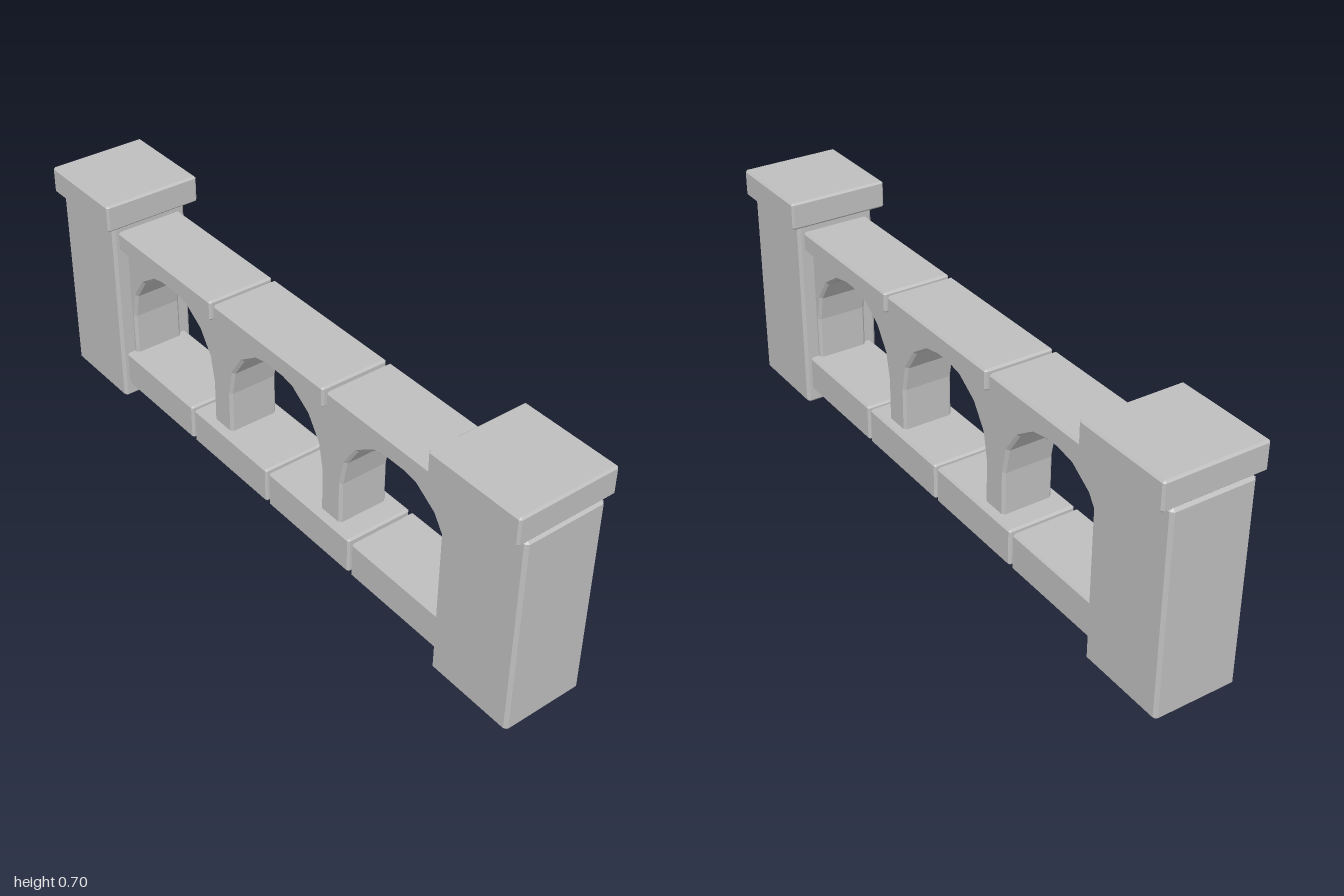
import * as THREE from 'three';
import { ConvexGeometry } from 'three/addons/geometries/ConvexGeometry.js';

const stone = new THREE.MeshStandardMaterial({ color: 0xbebebe });
stone.name = 'grey stone';

// Block with every edge chamfered by c, centred on (x, z), spanning y0..y1
function chamferBlock(name, x, y0, y1, width, depth, c) {
  const half = [width / 2, (y1 - y0) / 2, depth / 2];
  const points = [];
  for (const sx of [-1, 1]) for (const sy of [-1, 1]) for (const sz of [-1, 1]) {
    for (let axis = 0; axis < 3; axis++) {
      // one point per face at each corner, inset along the other two axes
      const p = half.map((h, i) => (i === axis ? h : h - c));
      points.push(new THREE.Vector3(p[0] * sx, p[1] * sy, p[2] * sz));
    }
  }
  const mesh = new THREE.Mesh(new ConvexGeometry(points), stone);
  mesh.name = name;
  mesh.position.set(x, (y0 + y1) / 2, 0);
  return mesh;
}

// Wall with three faceted arches, its piers standing in the base blocks
function arcade() {
  const end = 0.74, foot = 0.12, top = 0.53;
  const radius = 0.207, spring = 0.292, segments = 8, bevel = 0.008;
  const shape = new THREE.Shape();
  shape.moveTo(-end, top);
  shape.lineTo(-end, foot);
  for (const cx of [-0.5, 0, 0.5]) {
    shape.lineTo(cx - radius, foot);
    for (let i = 0; i <= segments; i++) {
      const a = Math.PI * (1 - i / segments);
      shape.lineTo(cx + radius * Math.cos(a), spring + radius * Math.sin(a));
    }
    shape.lineTo(cx + radius, foot);
  }
  shape.lineTo(end, foot);
  shape.lineTo(end, top);
  shape.closePath();
  const depth = 0.16 - 2 * bevel;
  const geometry = new THREE.ExtrudeGeometry(shape, {
    depth, bevelEnabled: true, bevelSegments: 1,
    bevelSize: bevel, bevelThickness: bevel, bevelOffset: -bevel,
  });
  geometry.translate(0, 0, -depth / 2);
  const mesh = new THREE.Mesh(geometry, stone);
  mesh.name = 'archedWall';
  return mesh;
}

export function createModel() {
  const model = new THREE.Group();
  model.name = 'stoneBalustrade';

  // End pillars with overhanging caps
  for (const [side, s] of [['left', 1], ['right', -1]]) {
    model.add(chamferBlock(side + 'Pillar', s * 0.861, 0, 0.615, 0.278, 0.25, 0.009));
    model.add(chamferBlock(side + 'Cap', s * 0.847, 0.616, 0.7, 0.306, 0.308, 0.006));
  }

  // Row of base blocks
  for (let i = 0; i < 4; i++) {
    model.add(chamferBlock('baseBlock' + (i + 1), (i - 1.5) * 0.367, 0.045, 0.16, 0.357, 0.212, 0.006));
  }

  model.add(arcade());

  // Row of handrail slabs
  for (let i = 0; i < 3; i++) {
    model.add(chamferBlock('railSlab' + (i + 1), (i - 1) * 0.5, 0.525, 0.588, 0.487, 0.212, 0.006));
  }
  return model;
}
